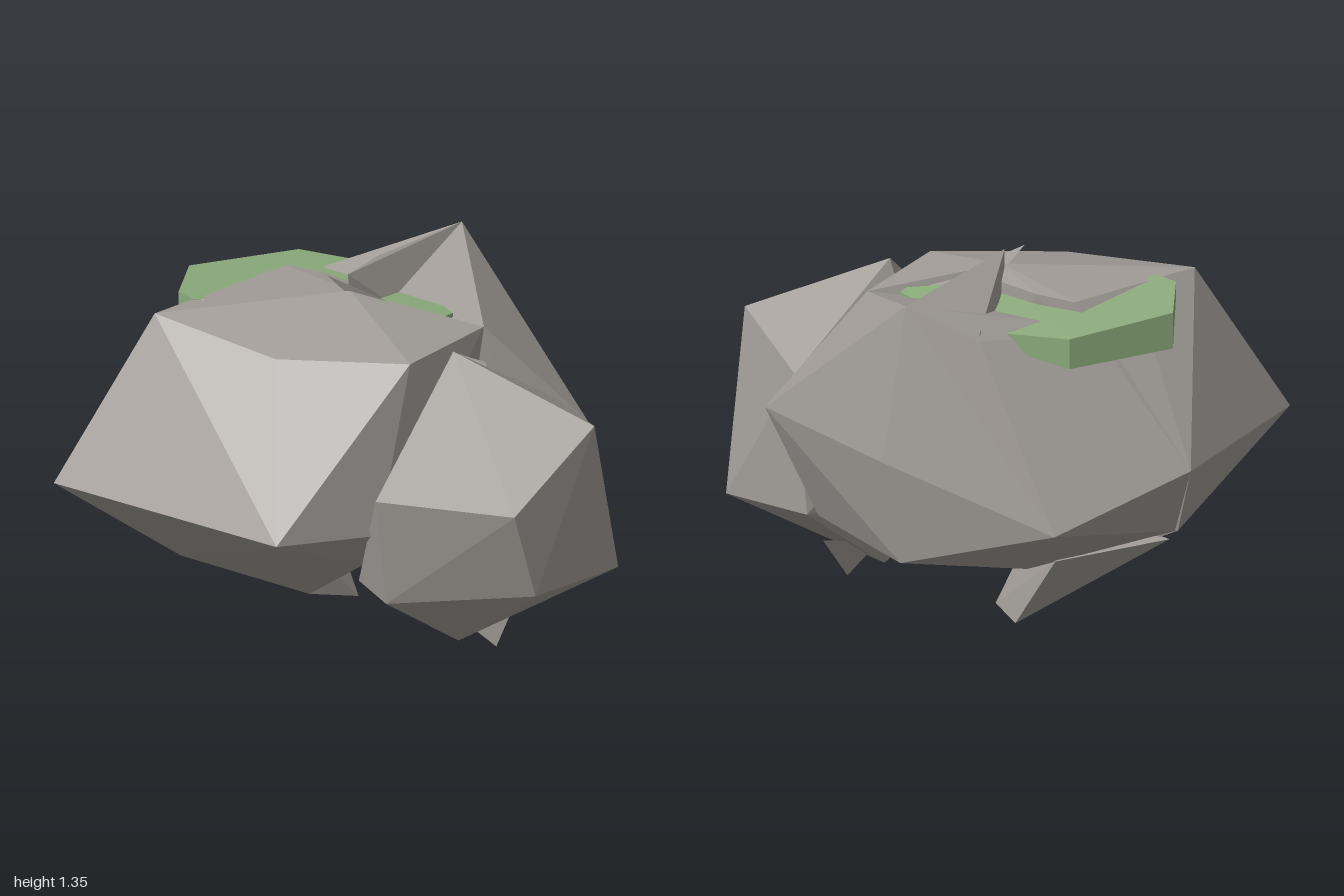
import * as THREE from 'three';
import { ConvexGeometry } from 'three/addons/geometries/ConvexGeometry.js';

const stone = new THREE.MeshStandardMaterial({ color: 0xa19c97, side: THREE.DoubleSide });
stone.name = 'grey stone';
const green = new THREE.MeshStandardMaterial({ color: 0x8cac7c });
green.name = 'moss green';

function named(name, geometry, material) {
  const mesh = new THREE.Mesh(geometry, material);
  mesh.name = name;
  return mesh;
}

// Faceted boulder spanned by its corner points
const boulder = (name, corners, material = stone) =>
  named(name, new ConvexGeometry(corners.map((c) => new THREE.Vector3(...c))), material);

// Thin stone splinter: a single triangle
function splinter(name, corners) {
  const g = new THREE.BufferGeometry();
  g.setAttribute('position', new THREE.Float32BufferAttribute(corners.flat(), 3));
  g.computeVertexNormals();
  return named(name, g, stone);
}

export function createModel() {
  const group = new THREE.Group();
  group.name = 'mossyBoulders';

  // Large boulder, front and -x side
  group.add(boulder('largeBoulder', [
    [-1, 0.62, 0.32], [-0.12, 0.7, 0.8], [-0.67, 1.225, 0.11], [-0.2, 1.195, 0.32],
    [0.28, 1.2, 0.29], [0.2, 0.61, 0.5], [-0.58, 0.23, 0.08], [-0.15, 0.33, 0.33],
    [-0.13, 0.07, 0], [-0.68, 0.66, -0.44], [-0.63, 0.4, -0.36], [0.1, 0.32, 0.2],
    [-0.26, 1.24, -0.29], [-0.12, 1.25, -0.24], [0, 1.26, -0.16], [0.01, 1.29, -0.05],
    [0.1, 0.6, -0.1],
  ]));

  // Shoulder of the large boulder, reaching back to the rear one
  group.add(boulder('shoulderStone', [
    [0.28, 1.2, 0.29], [0.01, 1.29, -0.05], [0.49, 1.18, -0.06], [-0.2, 1.195, 0.32],
    [0.2, 0.61, 0.5], [0.4, 0.5, -0.1], [0.05, 0.6, -0.06],
  ]));

  // Small boulder, front and +x side
  group.add(boulder('smallBoulder', [
    [0.42, 1.21, 0.19], [0.94, 0.99, 0.26], [0.7, 0.76, 0.56], [0.21, 0.82, 0.63],
    [0.24, 0.38, 0.58], [0.76, 0.39, 0.46], [1, 0.335, 0.1], [0.745, 0.88, -0.115],
    [0.7, 0.36, -0.16], [0.44, 0.04, 0.2], [0.1, 0.32, 0.32], [0.3, 0.8, 0.1],
  ]));

  // Rear boulder
  group.add(boulder('rearBoulder', [
    [-0.21, 0.54, -0.8], [-0.68, 0.66, -0.44], [0.41, 0.74, -0.61], [0.33, 1.32, -0.56],
    [0.85, 0.77, -0.16], [0.49, 1.18, -0.06], [0.07, 1.18, -0.53], [0, 1.15, -0.1],
    [-0.52, 1.1, -0.22], [0.35, 0.34, -0.565], [0.66, 0.355, -0.15],
    [-0.62, 0.4, -0.36], [-0.1, 0.3, -0.5], [0, 0.155, -0.08], [0.3, 0.27, -0.11],
  ]));

  // Sharp ridge on top of the rear boulder
  group.add(boulder('ridgeStone', [
    [0.33, 1.32, -0.56], [0.07, 1.2, -0.53], [0, 1.35, -0.06], [0, 1.15, -0.1],
    [0.02, 1.15, -0.3], [0.16, 1.15, -0.2],
  ]));

  // Pointed underside
  group.add(boulder('footStone', [
    [-0.6, 0.36, -0.34], [-0.13, 0.07, 0], [0.03, 0.015, -0.11], [-0.05, 0.025, -0.33],
    [-0.2, 0.33, -0.5], [-0.15, 0.35, 0.1],
  ]));

  // Moss slab between the boulders: x, z and the height of its lower edge;
  // its top slopes down gently towards the back and +x
  const outline = [[-0.61, -0.05, 1.17], [-0.61, -0.29, 1.07], [-0.25, -0.51, 1.07],
    [0.09, -0.44, 1.15], [0.37, -0.11, 1.15], [0.35, -0.075, 1.15], [0, -0.06, 1.1],
    [-0.55, 0, 1.17]];
  const top = (x, z) => 1.235 + 0.1 * z - 0.07 * Math.max(x, 0);
  group.add(boulder('moss',
    outline.flatMap(([x, z, low]) => [[x, top(x, z), z], [x, low, z]]), green));

  // Splinters along the seams
  group.add(
    splinter('topSplinter', [[-0.07, 1.355, -0.03], [0.3, 1.19, -0.06], [0.02, 1.25, -0.06]]),
    splinter('seamSplinter', [[0.4, 1.17, 0.12], [0.55, 1.08, 0.16], [0.52, 1.12, 0.09]]),
    splinter('bottomSplinter', [[0.57, 0.005, 0.16], [0.65, 0.2, 0], [0.46, 0.12, 0.2]]),
  );
  return group;
}
